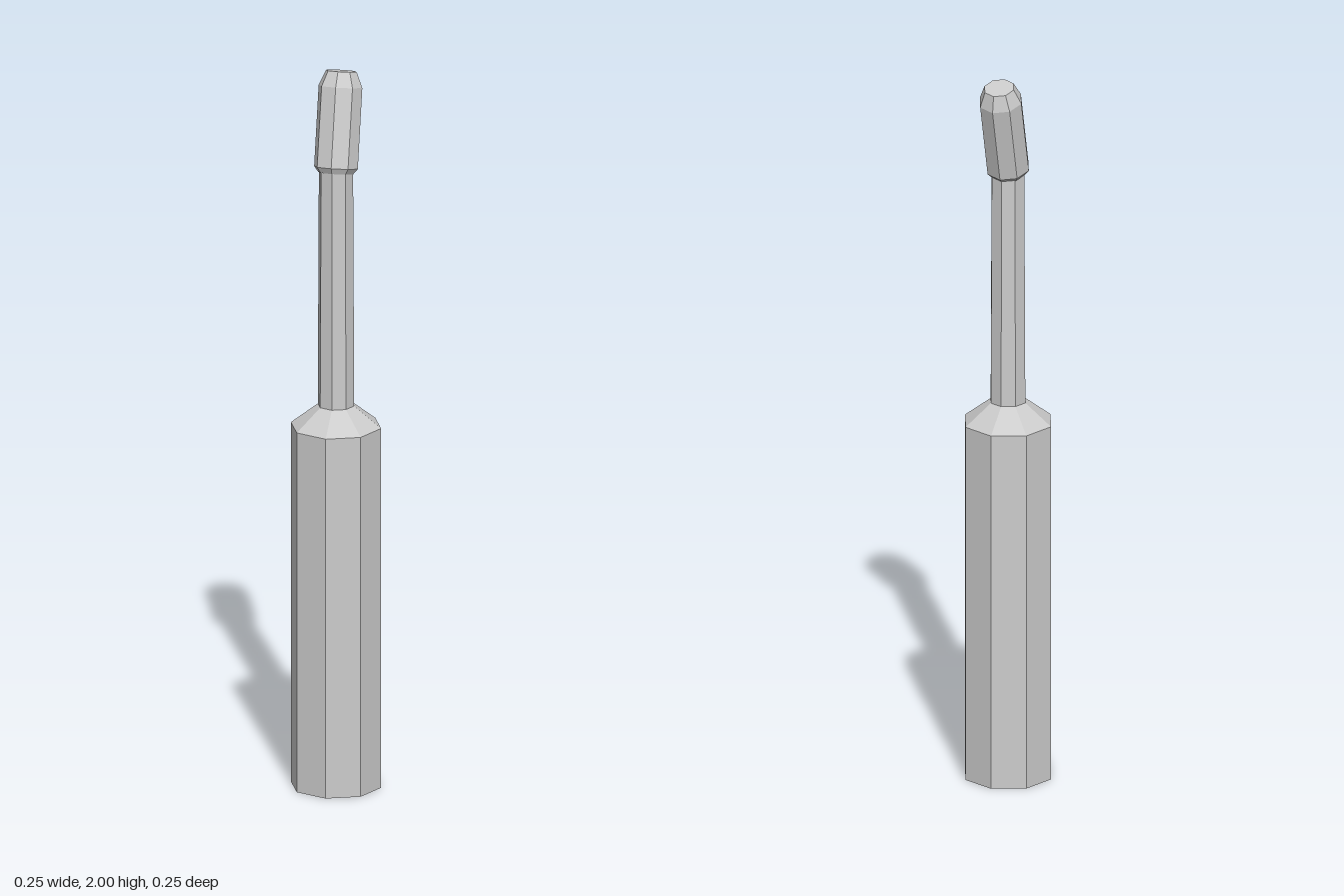
import * as THREE from 'three';

const SIDES = 8;

// Octagonal turned part from [radius, height] pairs, bottom to top
function turned(name, profile) {
  const points = profile.map(([r, y]) => new THREE.Vector2(r, y));
  const material = new THREE.MeshStandardMaterial({ color: 0xcccccc, flatShading: true });
  const mesh = new THREE.Mesh(new THREE.LatheGeometry(points, SIDES), material);
  mesh.name = name;
  return mesh;
}

export function createModel() {
  const group = new THREE.Group();
  group.name = 'handheldTool';

  // Thick grip with a sloped shoulder
  group.add(turned('handle', [[0, 0], [0.124, 0], [0.124, 1.012], [0.05, 1.07], [0, 1.07]]));

  // Slim neck, its top end buried in the head
  group.add(turned('shaft', [[0.05, 1.07], [0.047, 1.745]]));

  // Chamfered tip, leaning backwards
  const head = turned('head', [[0, -0.015], [0.048, -0.015], [0.06, 0], [0.06, 0.218], [0.042, 0.26], [0, 0.26]]);
  head.position.y = 1.738;
  head.rotation.x = -0.25;
  group.add(head);

  return group;
}
